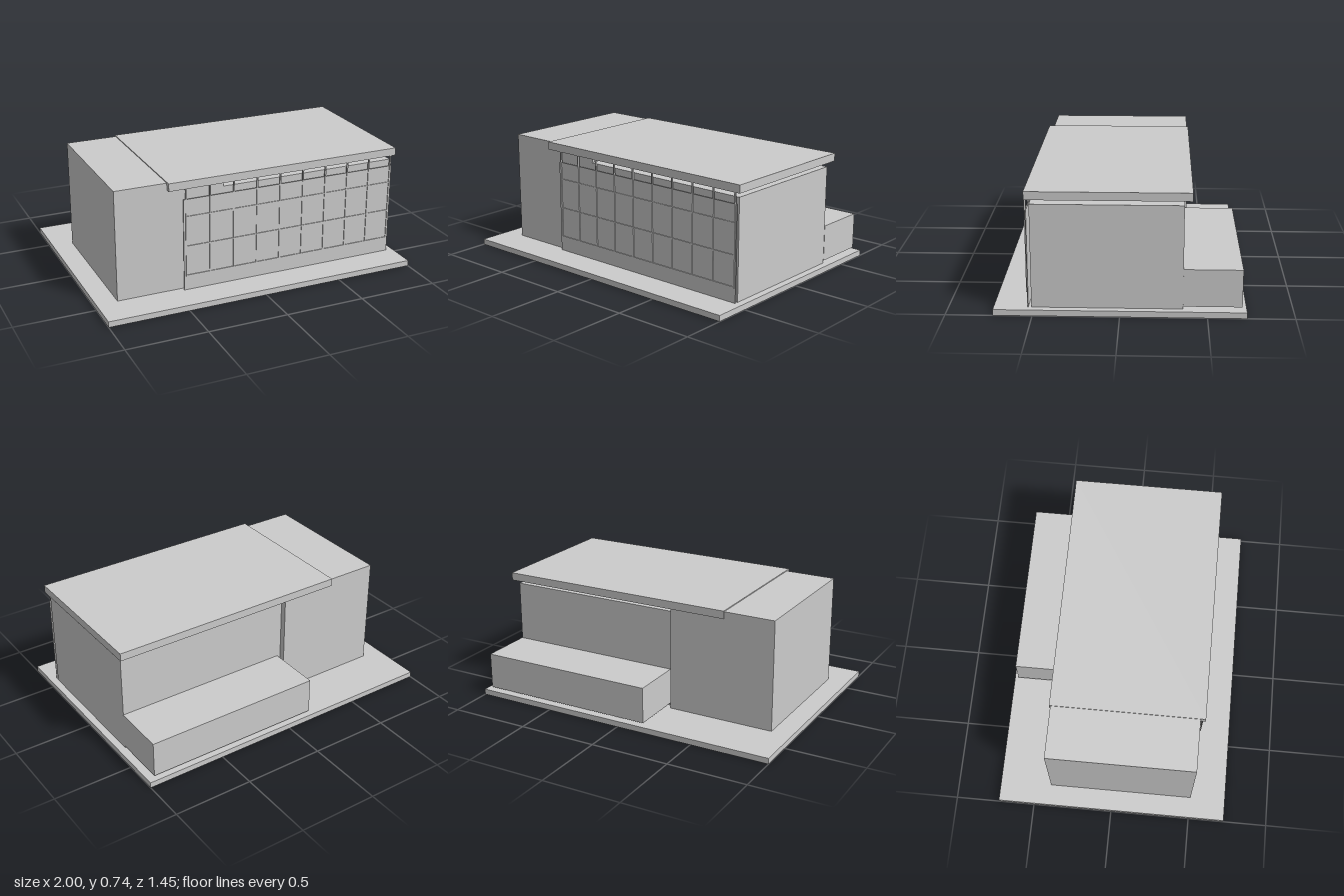
import * as THREE from 'three';

const material = new THREE.MeshStandardMaterial({ color: 0xcccccc });

// Box given by its extents along each axis
function box(name, [x0, x1], [y0, y1], [z0, z1]) {
  const mesh = new THREE.Mesh(new THREE.BoxGeometry(x1 - x0, y1 - y0, z1 - z0), material);
  mesh.position.set((x0 + x1) / 2, (y0 + y1) / 2, (z0 + z1) / 2);
  mesh.name = name;
  return mesh;
}

export function createModel() {
  const house = new THREE.Group();
  house.name = 'house';

  // Main volumes
  house.add(
    box('basePlate', [-1, 1], [0, 0.036], [-0.725, 0.725]),
    box('tallBlock', [-0.87, -0.188], [0.036, 0.73], [-0.4, 0.504]),
    box('mainHall', [-0.188, 0.956], [0.036, 0.656], [-0.362, 0.508]),
    box('rearAnnex', [-0.166, 0.958], [0.052, 0.278], [-0.7, -0.362]),
    box('roofSlab', [-0.546, 0.978], [0.687, 0.736], [-0.408, 0.535])
  );

  // Glazed front: pane with a grid of thin bars
  const facade = new THREE.Group();
  facade.name = 'glazedFacade';
  facade.add(box('glassPane', [-0.455, 0.956], [0.036, 0.62], [0.525, 0.531]));

  const bar = 0.004; // half width of a bar
  const barDepth = [0.525, 0.536];
  const columns = 10, firstX = -0.439, stepX = 0.1537;
  for (let i = 0; i < columns; i++) {
    const x = firstX + i * stepX;
    facade.add(box('mullion', [x - bar, x + bar], [0.13, 0.687], barDepth));
  }
  const lastX = firstX + (columns - 1) * stepX;
  for (const y of [0.13, 0.32, 0.51]) {
    facade.add(box('transom', [firstX - bar, lastX + bar], [y - bar, y + bar], barDepth));
  }
  house.add(facade);

  return house;
}
